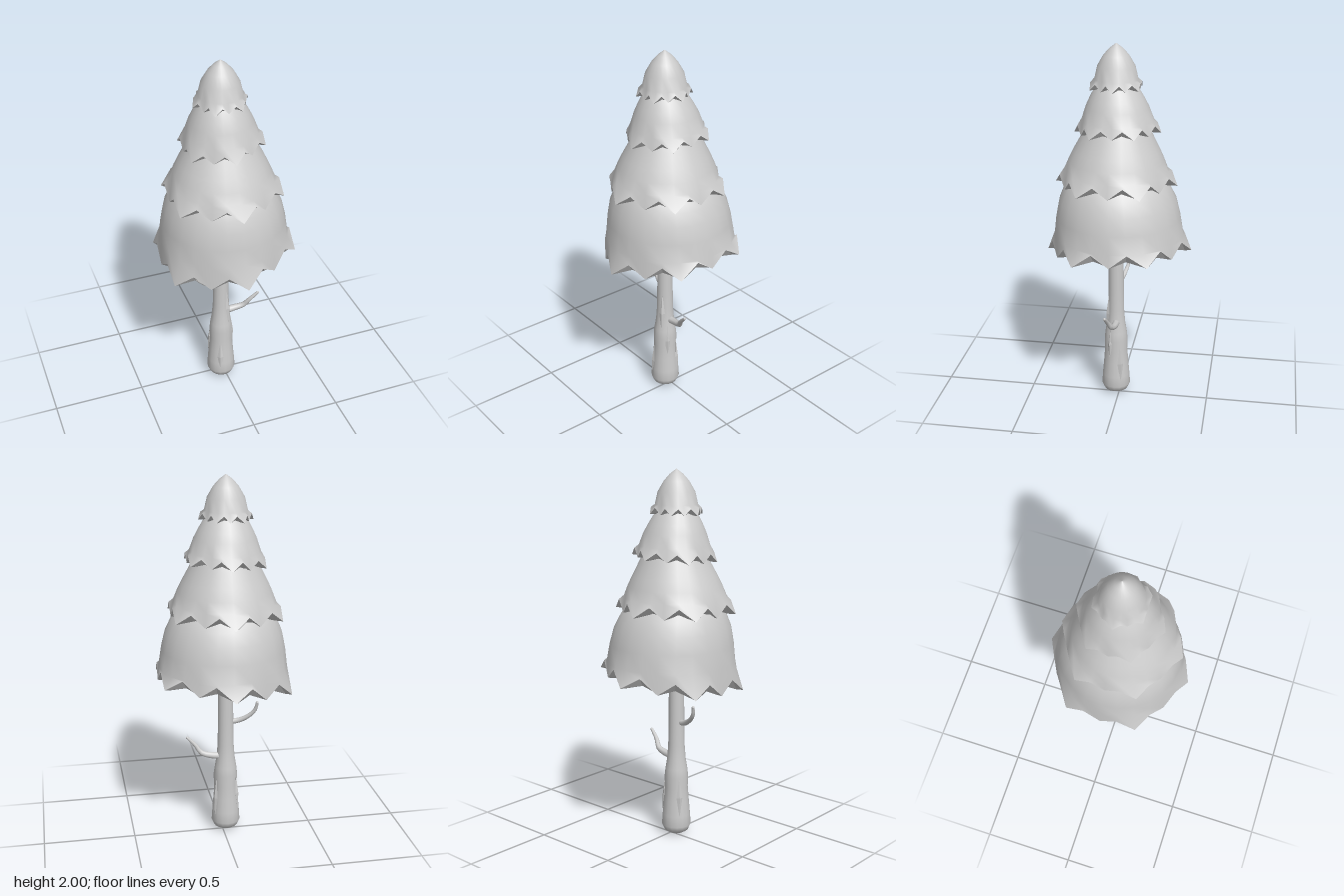
import * as THREE from 'three';

const SEG = 24;
const mat = new THREE.MeshStandardMaterial({ color: 0xcccccc, side: THREE.DoubleSide });

function add(group, name, geometry) {
  const mesh = new THREE.Mesh(geometry, mat);
  mesh.name = name;
  group.add(mesh);
  return mesh;
}

// Skin a list of rings, ordered from top to bottom on the outside
function loft(rings, flat = false) {
  const n = rings[0].length, pos = [], index = [];
  rings.forEach(r => r.forEach(p => pos.push(p.x, p.y, p.z)));
  for (let j = 0; j < rings.length - 1; j++) {
    for (let i = 0; i < n; i++) {
      const a = j * n + i, a2 = j * n + (i + 1) % n;
      index.push(a, a2, a + n, a2, a2 + n, a + n);
    }
  }
  let g = new THREE.BufferGeometry();
  g.setAttribute('position', new THREE.Float32BufferAttribute(pos, 3));
  g.setIndex(index);
  if (flat) g = g.toNonIndexed();
  g.computeVertexNormals();
  return g;
}

// One ring around (cx, cz); shape(i) gives [radius, height]
function ring([cx, cz], shape, tilt = 0) {
  return Array.from({ length: SEG }, (_, i) => {
    const a = i / SEG * Math.PI * 2, [r, y] = shape(i);
    const x = r * Math.cos(a), z = r * Math.sin(a);
    return new THREE.Vector3(cx + x, y + tilt * (x - 0.5 * z), cz + z);
  });
}

// Foliage tiers: profile [radius, height] from the top, jagged hexagonal rim,
// inner lip [scale of the rim, height at teeth, height at notches]
const tiers = [
  { c: [0.001, 0], R: 0.391, mid: 0.897, tooth: 0.89, notch: 0.96, turn: 2, tilt: 0.1, lip: [0.91, 0.887, 0.918],
    profile: [[0.238, 1.31], [0.262, 1.28], [0.282, 1.245], [0.312, 1.18], [0.332, 1.09], [0.345, 0.995]] },
  { c: [-0.012, 0.018], R: 0.325, mid: 0.88, tooth: 1.26, notch: 1.32, turn: 2, tilt: 0.02, lip: [0.86, 1.26, 1.283],
    profile: [[0.16, 1.575], [0.182, 1.535], [0.202, 1.495], [0.226, 1.45], [0.252, 1.395], [0.274, 1.34]] },
  { c: [-0.013, 0.01], R: 0.228, mid: 0.88, tooth: 1.54, notch: 1.585, turn: 2, tilt: 0.06, lip: [0.85, 1.54, 1.556],
    profile: [[0.095, 1.795], [0.118, 1.765], [0.143, 1.72], [0.165, 1.675], [0.188, 1.61]] },
  { c: [-0.02, 0.018], R: 0.145, mid: 0.86, tooth: 1.77, notch: 1.805, turn: 0, tilt: 0.02, lip: [0.8, 1.77, 1.782],
    profile: [[0.002, 2], [0.035, 1.975], [0.066, 1.94], [0.098, 1.885], [0.113, 1.82]] },
];

function buildTier(t, k) {
  const g = new THREE.Group();
  g.name = 'foliageTier' + (k + 1);
  const radius = i => {
    const corner = (i - t.turn + SEG) % 4 === 0;
    return t.R * (corner ? 1 : i % 2 === 0 ? t.mid : 0.915);
  };
  const rim = ring(t.c, i => [radius(i), i % 2 === 0 ? t.tooth : t.notch], t.tilt);
  // The shell leans so that its top sits under the next tier
  const top = (tiers[k + 1] ?? t).c, last = t.profile.length - 1;
  const shell = t.profile.map((p, j) =>
    ring(top.map((v, m) => THREE.MathUtils.lerp(v, t.c[m], j / last)), () => p));
  add(g, 'shell', loft([...shell, rim]));
  const inner = ring(t.c, i => [radius(i) * t.lip[0], t.lip[1 + i % 2]], t.tilt);
  add(g, 'rimLip', loft([rim, inner], true));
  // Hollow underside of the lowest tier
  if (k === 0) {
    const hollow = [[0.325, 0.99], [0.316, 1.07], [0.293, 1.17], [0.25, 1.25], [0.16, 1.31], [0.002, 1.35]];
    add(g, 'hollow', loft([inner, ...hollow.map(p => ring(t.c, () => p))]));
  }
  return g;
}

// Bent branch that narrows towards its tip
function branch(points, r0, r1) {
  const curve = new THREE.CatmullRomCurve3(points.map(p => new THREE.Vector3(...p)));
  const steps = 10, sides = 8;
  const g = new THREE.TubeGeometry(curve, steps, 1, sides);
  const pos = g.attributes.position, v = new THREE.Vector3();
  for (let i = 0; i < pos.count; i++) {
    const u = Math.floor(i / (sides + 1)) / steps, c = curve.getPointAt(u);
    v.fromBufferAttribute(pos, i).sub(c).multiplyScalar(r0 + (r1 - r0) * u).add(c);
    pos.setXYZ(i, v.x, v.y, v.z);
  }
  return g;
}

export function createModel() {
  const model = new THREE.Group();
  model.name = 'pineTree';

  const foliage = new THREE.Group();
  foliage.name = 'foliage';
  tiers.forEach((t, k) => foliage.add(buildTier(t, k)));
  model.add(foliage);

  // Trunk with a rounded, swollen foot and a bulge below the branches
  const trunk = new THREE.Group();
  trunk.name = 'trunk';
  trunk.position.set(-0.02, 0, 0.02);
  model.add(trunk);
  const profile = [[0, 0.005], [0.04, 0.012], [0.066, 0.028], [0.08, 0.06], [0.076, 0.12], [0.069, 0.2],
    [0.063, 0.28], [0.065, 0.34], [0.06, 0.385], [0.051, 0.44], [0.045, 0.52], [0.043, 0.65], [0.041, 0.9], [0.04, 1.33]];
  add(trunk, 'trunkBody', new THREE.LatheGeometry(profile.map(p => new THREE.Vector2(...p)), 16));

  // Bark ridges: [angle from +x towards +z, surface radius at bottom and top, bottom, top]
  const ridges = [[112, 0.077, 0.063, 0.06, 0.28], [58, 0.056, 0.042, 0.38, 0.62], [25, 0.065, 0.055, 0.23, 0.42],
    [-28, 0.076, 0.064, 0.08, 0.33], [215, 0.075, 0.063, 0.12, 0.34]];
  for (const [deg, rb, rt, y0, y1] of ridges) {
    const a = deg * Math.PI / 180, r = (rb + rt) / 2;
    const g = new THREE.OctahedronGeometry(1);
    g.scale(0.01, (y1 - y0) / 2, 0.017);
    g.rotateZ(Math.atan2(rb - rt, y1 - y0));
    g.rotateY(-a);
    add(trunk, 'barkRidge', g).position.set(r * Math.cos(a), (y0 + y1) / 2, r * Math.sin(a));
  }

  // Two bare branches with closed tips
  const branches = [
    ['rightBranch', [[-0.03, 0.65, 0.02], [-0.085, 0.655, 0.01], [-0.14, 0.685, -0.01], [-0.175, 0.725, -0.025], [-0.185, 0.77, -0.035]], 0.018, 0.008],
    ['leftBranch', [[0, 0.45, 0.015], [0.06, 0.455, 0.015], [0.115, 0.47, 0.025], [0.145, 0.51, 0.04], [0.19, 0.555, 0.05]], 0.022, 0.008],
  ];
  for (const [name, pts, r0, r1] of branches) {
    const b = new THREE.Group();
    b.name = name;
    add(b, 'limb', branch(pts, r0, r1));
    add(b, 'tip', new THREE.SphereGeometry(r1, 8, 6)).position.set(...pts[pts.length - 1]);
    model.add(b);
  }
  return model;
}
